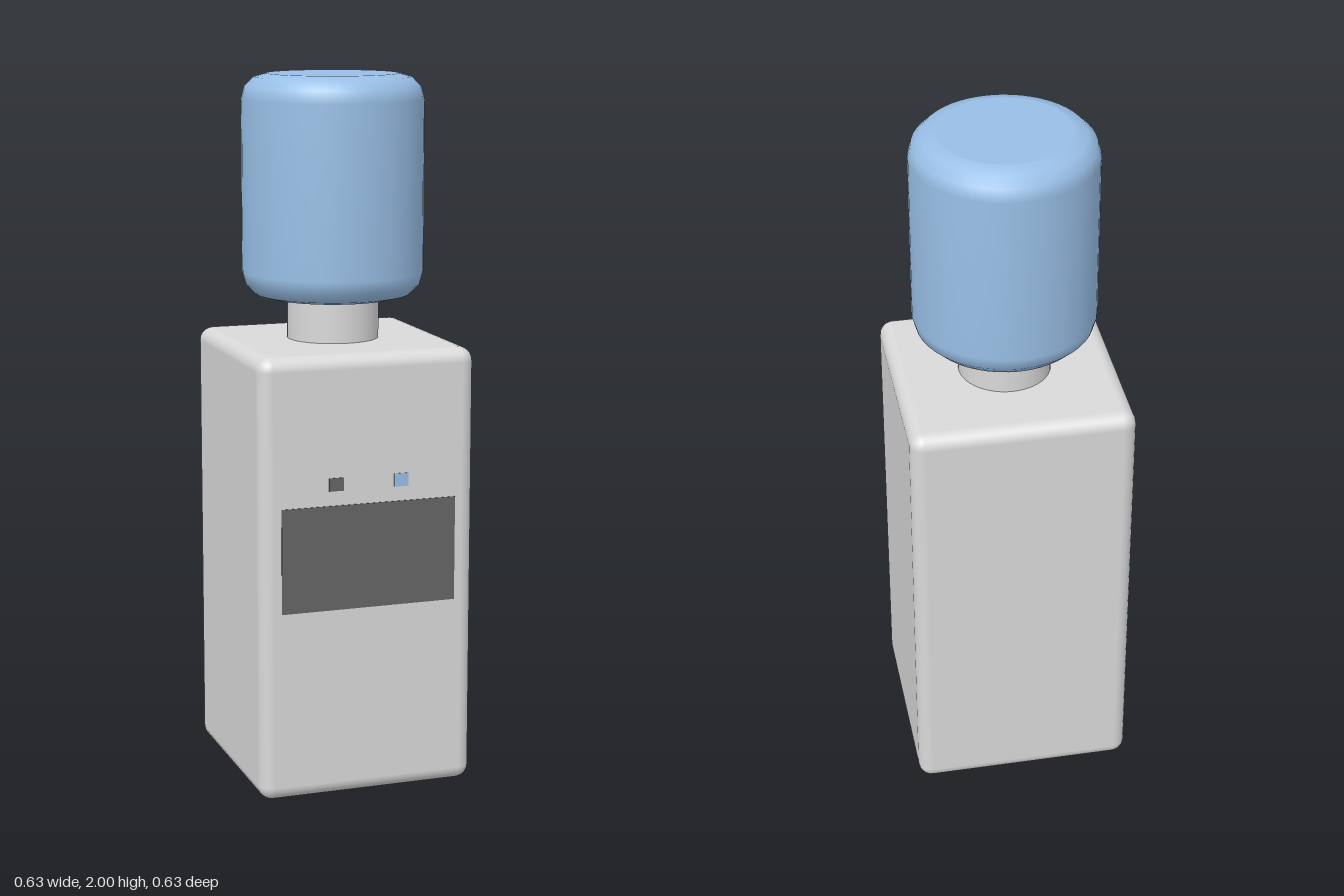
import * as THREE from 'three';
import { RoundedBoxGeometry } from 'three/addons/geometries/RoundedBoxGeometry.js';

const paint = (name, color) => {
  const m = new THREE.MeshStandardMaterial({ color });
  m.name = name;
  return m;
};

export function createModel() {
  const group = new THREE.Group();
  group.name = 'waterDispenser';
  const casing = paint('lightGrey', 0xd9d9d9);
  const dark = paint('darkGrey', 0x666666);
  const blue = paint('waterBlue', 0x99bfe6);

  const add = (name, geometry, material, x, y, z) => {
    const mesh = new THREE.Mesh(geometry, material);
    mesh.name = name;
    mesh.position.set(x, y, z);
    group.add(mesh);
    return mesh;
  };

  // Cabinet with softly rounded edges
  const width = 0.628, height = 1.257, cabinetZ = -0.001;
  const front = cabinetZ + width / 2;
  add('cabinet', new RoundedBoxGeometry(width, height, width, 3, 0.04), casing, 0, height / 2, cabinetZ);

  // Thin recess panel and the two tap buttons on the front
  const plate = (name, w, h, material, x, y) =>
    add(name, new THREE.BoxGeometry(w, h, 0.004), material, x, y, front);
  plate('dispensingPanel', 0.508, 0.297, dark, 0, 0.691);
  plate('hotButton', 0.042, 0.037, dark, -0.096, 0.899);
  plate('coldButton', 0.042, 0.037, blue, 0.094, 0.899);

  // Collar between cabinet and bottle
  add('neck', new THREE.CylinderGeometry(0.13, 0.13, 0.17, 48), casing, 0, 1.325, 0);

  // Bottle: a closed cylinder with rounded shoulders
  const radius = 0.257, bottom = 1.375, top = 2, round = 0.072, steps = 3;
  const profile = [new THREE.Vector2(0, bottom), new THREE.Vector2(radius - round - 0.004, bottom)];
  for (const [centre, start] of [[bottom + round, -Math.PI / 2], [top - round, 0]]) {
    for (let i = 0; i <= steps; i++) {
      const a = start + (i / steps) * (Math.PI / 2);
      profile.push(new THREE.Vector2(radius - round + round * Math.cos(a), centre + round * Math.sin(a)));
    }
  }
  profile.push(new THREE.Vector2(radius - round - 0.004, top), new THREE.Vector2(0, top));
  add('bottle', new THREE.LatheGeometry(profile, 48), blue, 0, 0, 0);

  return group;
}
